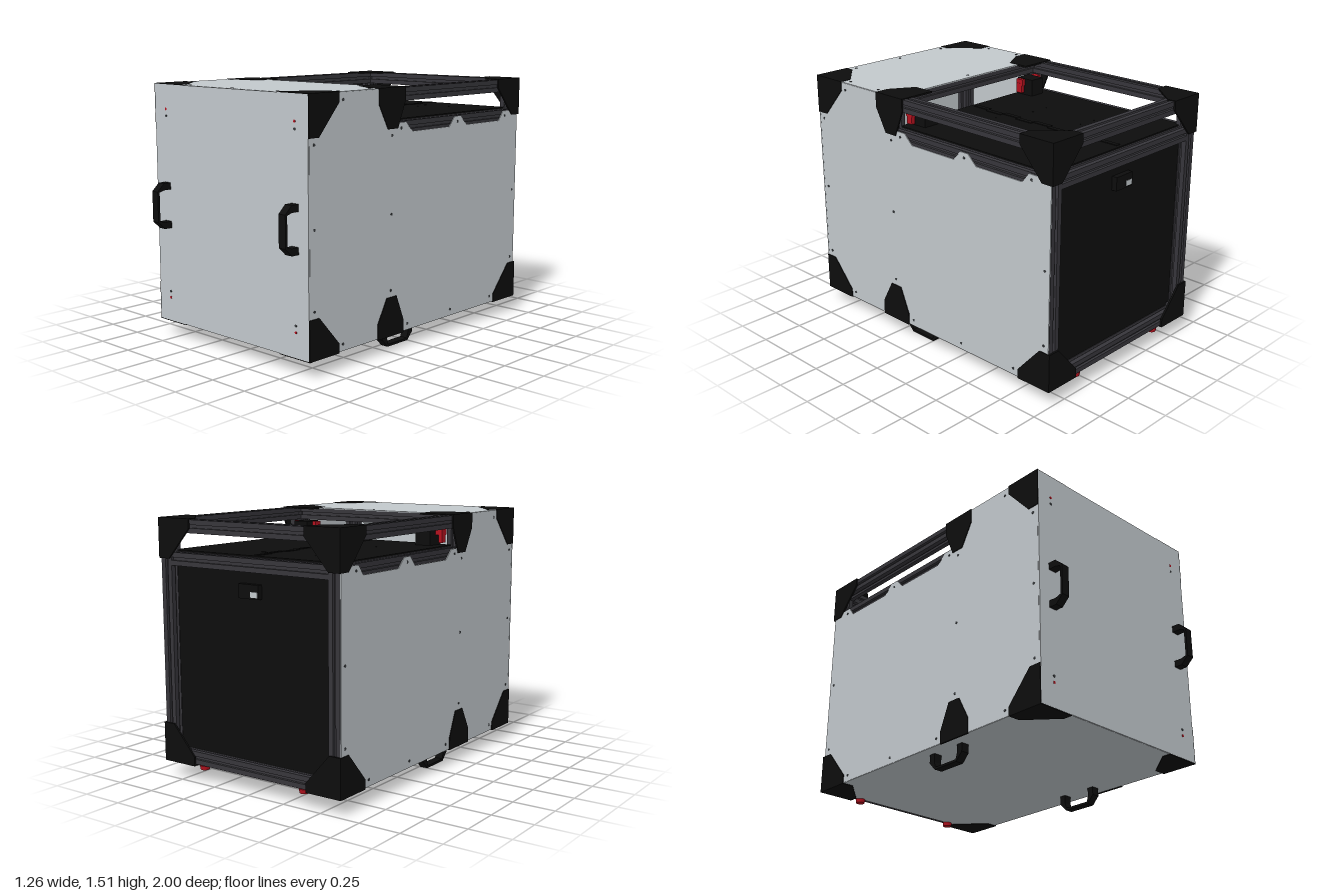
import * as THREE from 'three';

const mat = (name, color) => {
  const m = new THREE.MeshStandardMaterial({ color });
  m.name = name;
  return m;
};

export function createModel() {
  const root = new THREE.Group();
  root.name = 'equipmentEnclosure';
  const panelMat = mat('panelGrey', 0xc3c9cd);
  const black = mat('bracketBlack', 0x0d0d0d);
  const beamMat = mat('beamCharcoal', 0x37363b);
  const screwMat = mat('screwGrey', 0x3a3d40);
  const red = mat('accentRed', 0xb5121f);

  const add = (name, geo, m, x = 0, y = 0, z = 0) => {
    const mesh = new THREE.Mesh(geo, m);
    mesh.name = name;
    mesh.position.set(x, y, z);
    root.add(mesh);
    return mesh;
  };
  const box = (name, w, h, d, m, x, y, z) => add(name, new THREE.BoxGeometry(w, h, d), m, x, y, z);
  const shapeOf = (pts) => new THREE.Shape(pts.map(([a, b]) => new THREE.Vector2(a, b)));
  const extrude = (shape, depth) => new THREE.ExtrudeGeometry(shape, { depth, bevelEnabled: false, curveSegments: 8 });

  // Flat plates whose 2D outline lies in (z,y), (x,z) or (x,y); pos is the greatest face for the first two, the least for the last
  const sidePlate = (name, shape, t, m, pos) => add(name, extrude(shape, t).rotateY(-Math.PI / 2), m, pos, 0, 0);
  const flatPlate = (name, shape, t, m, pos) => add(name, extrude(shape, t).rotateX(Math.PI / 2), m, 0, pos, 0);
  const backPlate = (name, shape, t, m, pos) => add(name, extrude(shape, t), m, 0, 0, pos);

  // Slotted frame beams
  const half = 0.0375, slot = 0.009, deep = 0.016;
  const profile = [];
  for (let i = 0; i < 4; i++) {
    const c = Math.round(Math.cos(i * Math.PI / 2)), s = Math.round(Math.sin(i * Math.PI / 2));
    for (const [a, b] of [[half, -half], [half, -slot], [half - deep, -slot], [half - deep, slot], [half, slot]]) {
      profile.push([a * c - b * s, a * s + b * c]);
    }
  }
  const beam = (axis, length, x, y, z) => {
    const g = extrude(shapeOf(profile), length).translate(0, 0, -length / 2);
    if (axis === 'x') g.rotateY(Math.PI / 2);
    if (axis === 'y') g.rotateX(Math.PI / 2);
    add('frameBeam', g, beamMat, x, y, z);
  };
  const X = 0.585, TOP = 1.473, SHELF = 1.285, LOW = 0.145, BACK = -0.95, MID = 0.24, FRONT = 0.855;
  for (const s of [-1, 1]) {
    for (const y of [TOP, LOW]) beam('z', 1.82, s * X, y, -0.05);
    beam('z', 1.15, s * X, SHELF, -0.355);
    for (const z of [BACK, MID, FRONT]) beam('y', 1.36, s * X, 0.81, z);
  }
  for (const z of [BACK, MID, FRONT]) {
    beam('x', 1.12, 0, TOP, z);
    beam('x', 1.12, 0, LOW, z);
  }
  beam('x', 1.12, 0, SHELF, BACK);

  // Side panels with a lowered, notched rear edge
  const sideShape = shapeOf([
    [0.895, 0.102], [-0.985, 0.102], [-0.985, 1.315], [-0.83, 1.315], [-0.785, 1.258], [-0.45, 1.258],
    [-0.39, 1.315], [-0.33, 1.315], [-0.28, 1.258], [0.06, 1.258], [0.12, 1.315], [0.2, 1.315],
    [0.2, 1.51], [0.895, 1.51],
  ]);
  for (const s of [-1, 1]) sidePlate('sidePanel', sideShape, 0.006, panelMat, s > 0 ? 0.627 : -0.621);

  // Front, top and bottom panels
  box('frontPanel', 1.254, 1.412, 0.008, panelMat, 0, 0.807, 0.9);
  box('topPanel', 1.25, 0.006, 0.695, panelMat, 0, 1.511, 0.548);
  box('bottomPanel', 1.25, 0.006, 1.845, panelMat, 0, 0.103, -0.025);

  // Perforated shelf
  const shelf = shapeOf([[-0.575, -0.93], [0.575, -0.93], [0.575, 0.21], [-0.575, 0.21]]);
  const holes = [[0.085, -0.73, 0.016], [0.13, -0.73], [0.28, -0.73], [0.28, -0.6], [0.13, -0.6],
    [0.235, -0.45], [0.38, -0.45], [0.31, -0.08], [0.085, -0.08]];
  for (const x of [-0.28, -0.16]) for (const z of [-0.74, -0.52, -0.15]) holes.push([x, z]);
  for (const [x, z, r = 0.005] of holes) {
    const h = new THREE.Path();
    h.absarc(x, z, r, 0, Math.PI * 2, true);
    shelf.holes.push(h);
  }
  flatPlate('shelfPlate', shelf, 0.008, black, 1.331);
  for (let i = 0; i < 9; i++) {
    box('shelfHingeLeaf', 0.03, 0.004, 0.12, black, i % 2 ? 0.01 : -0.01, 1.333, -0.85 + i * 0.122);
  }

  // Rear panel with clipped lower corners and a small inlet
  backPlate('rearPanel', shapeOf([[-0.52, 0.15], [0.52, 0.15], [0.52, 0.2], [0.56, 0.2], [0.56, 1.28],
    [-0.56, 1.28], [-0.56, 0.2], [-0.52, 0.2]]), 0.008, black, -0.938);
  box('rearInlet', 0.14, 0.08, 0.04, black, 0, 1.14, -0.95);
  box('rearInletFace', 0.05, 0.03, 0.004, panelMat, -0.04, 1.125, -0.971);

  // Corner brackets
  const H = 0.632, T = 1.516, B = 0.096;
  const cornerOutline = (a, b, da, db) => shapeOf([[0, 0], [0.23, 0], [0.23, 0.055], [0.075, 0.23], [0, 0.23]]
    .map(([u, v]) => [a + da * u, b + db * v]));
  const midOutline = (y, d) => shapeOf([[0.355, 0], [0.355, 0.09], [0.278, 0.23], [0.195, 0.23], [0.13, 0.075], [0.13, 0]]
    .map(([z, v]) => [z, y + d * v]));
  for (const s of [-1, 1]) {
    const sx = s > 0 ? H : -H + 0.01;
    for (const [y, d] of [[T, -1], [B, 1]]) {
      const top = d < 0;
      const fy = top ? T : B + 0.01;
      sidePlate('frontCornerBracket', cornerOutline(0.903, y, -1, d), 0.01, black, sx);
      sidePlate('rearCornerBracket', cornerOutline(-0.998, y, 1, d), 0.01, black, sx);
      sidePlate('middleBracket', midOutline(y, d), 0.01, black, sx);
      flatPlate('frontCornerBracket', cornerOutline(s * H, 0.903, -s, -1), 0.01, black, fy);
      flatPlate('rearCornerBracket', cornerOutline(s * H, -0.998, -s, 1), 0.01, black, fy);
      backPlate('rearCornerBracket', cornerOutline(s * H, y, -s, d), 0.012, black, -0.998);
    }
    flatPlate('middleBracket', shapeOf([[0.63, 0.13], [0.4, 0.13], [0.4, 0.265], [0.545, 0.352], [0.63, 0.352]]
      .map(([x, z]) => [s * x, z])), 0.01, black, T);

    // Latches under the middle brackets
    box('latchBlock', 0.1, 0.11, 0.12, black, s * 0.455, 1.378, 0.14);
    box('latchRail', 0.17, 0.04, 0.05, red, s * 0.465, 1.41, 0.165);
    box('latchTab', 0.025, 0.06, 0.04, red, s * 0.39, 1.375, 0.165);
    box('latchTab', 0.025, 0.06, 0.04, red, s * 0.535, 1.375, 0.165);

    // Rear feet
    add('rearFoot', new THREE.CylinderGeometry(0.03, 0.026, 0.025, 20), red, s * 0.36, 0.09, -0.955);
  }

  // Handles: a chamfered bracket outline, (out, along)
  const handleShape = shapeOf([[0, 0.135], [0.05, 0.135], [0.098, 0.09], [0.098, -0.09], [0.05, -0.135], [0, -0.135],
    [0, -0.095], [0.05, -0.095], [0.084, -0.085], [0.084, 0.085], [0.05, 0.095], [0, 0.095]]);
  for (const s of [-1, 1]) {
    const g = () => extrude(handleShape, 0.05).translate(0, 0, -0.025).rotateY(-Math.PI / 2);
    add('frontHandle', g(), black, s * 0.53, 0.805, 0.902);
    add('bottomHandle', g().rotateX(Math.PI / 2), black, s * 0.53, 0.1, 0.09);
  }

  // Screws
  const screwGeo = new THREE.CylinderGeometry(0.008, 0.008, 0.006, 10);
  const sideScrews = [[0.64, 1.47], [0.64, 0.14], [0.09, 0.14], [-0.32, 0.14], [-0.73, 0.14],
    [0.86, 1.25], [0.24, 1.25], [0.16, 1.285], [-0.36, 1.285], [-0.85, 1.285]];
  for (const z of [0.86, 0.24, -0.95]) for (const y of [0.365, 0.805]) sideScrews.push([z, y]);
  for (const s of [-1, 1]) {
    for (const [z, y] of sideScrews) add('sideScrew', screwGeo, screwMat, s * 0.626, y, z).rotation.z = Math.PI / 2;
    for (const [x, z] of [[0.585, 0.385], [0.585, 0.635], [0.36, 0.86]]) add('topScrew', screwGeo, screwMat, s * x, 1.513, z);
    for (const [y, m] of [[1.37, red], [1.33, screwMat], [0.28, screwMat], [0.243, red]]) {
      add('frontScrew', screwGeo, m, s * 0.53, y, 0.903).rotation.x = Math.PI / 2;
    }
    add('handleScrew', screwGeo, red, s * 0.53, 0.693, 0.953).rotation.x = Math.PI / 2;
  }
  for (const z of [0.24, 0.86]) add('topScrew', screwGeo, screwMat, 0, 1.513, z);

  return root;
}
